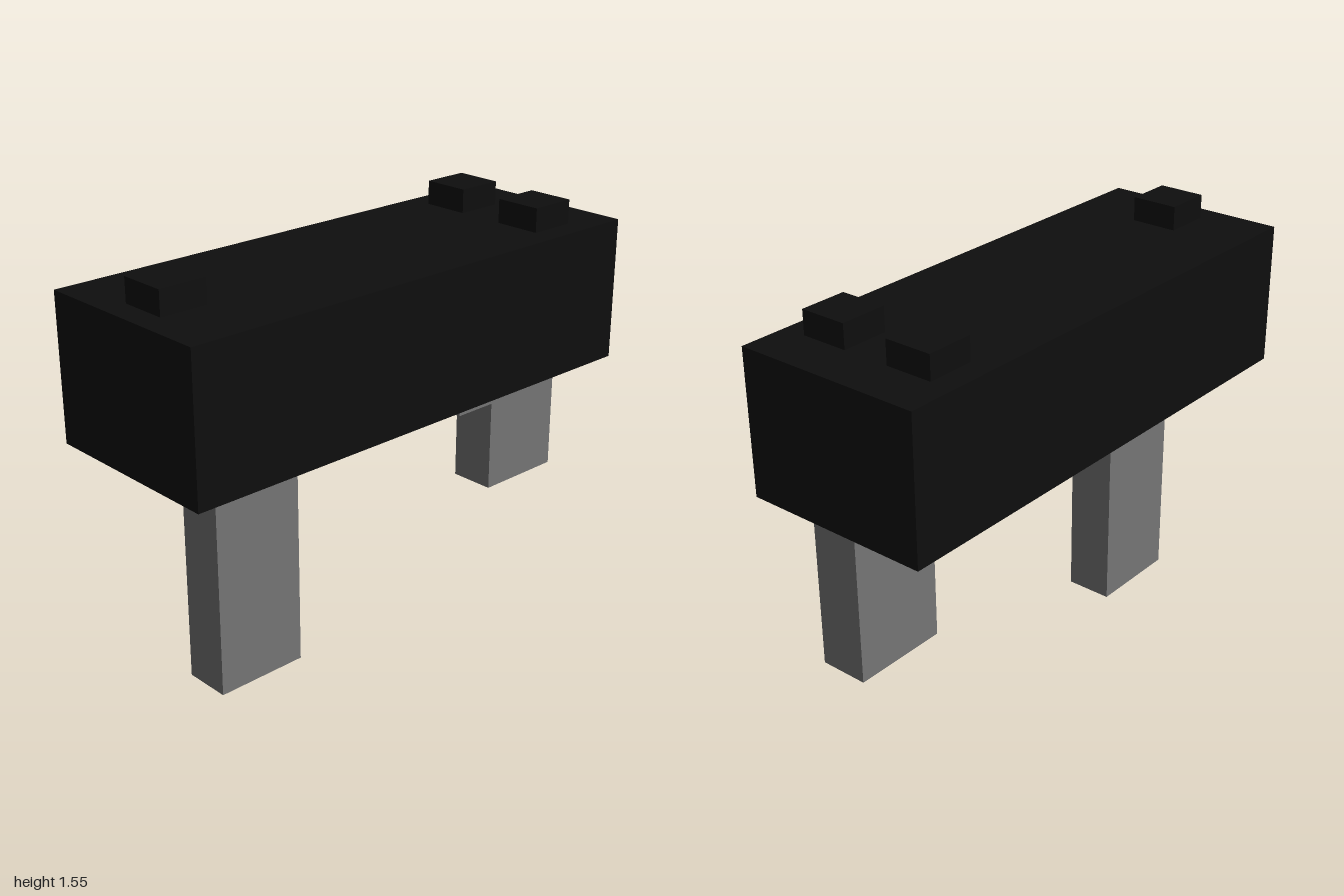
import * as THREE from 'three';

const U = 1 / 11; // block unit

export function createModel() {
  const model = new THREE.Group();
  const black = new THREE.MeshStandardMaterial({ color: 0x0e0e0e });
  black.name = 'black';
  const grey = new THREE.MeshStandardMaterial({ color: 0x757575 });
  grey.name = 'grey';

  // Box given by its extents in block units
  function block(name, material, [x0, x1], [y0, y1], [z0, z1]) {
    const geometry = new THREE.BoxGeometry((x1 - x0) * U, (y1 - y0) * U, (z1 - z0) * U);
    const mesh = new THREE.Mesh(geometry, material);
    mesh.position.set((x0 + x1) / 2 * U, (y0 + y1) / 2 * U, (z0 + z1) / 2 * U);
    mesh.name = name;
    model.add(mesh);
  }

  // Main body
  block('body', black, [-4, 4], [10, 16], [-11, 11]);

  // Sights on top: one at the front, a pair at the rear
  block('frontSight', black, [-1, 1], [16, 17], [8, 10]);
  block('rearSightLeft', black, [1, 3], [16, 17], [-9, -7]);
  block('rearSightRight', black, [-3, -1], [16, 17], [-9, -7]);

  // Long front post and short rear grip
  block('frontPost', grey, [-1, 1], [0, 10], [4, 8]);
  block('rearGrip', grey, [-1, 1], [4, 10], [-11, -7]);

  // L-shaped guard with the trigger filling its corner
  block('guardFront', grey, [-1, 1], [8, 10], [-6, -5]);
  block('guardBottom', grey, [-1, 1], [8, 9], [-7, -6]);
  block('trigger', black, [-1, 1], [9, 10], [-7, -6]);

  return model;
}
